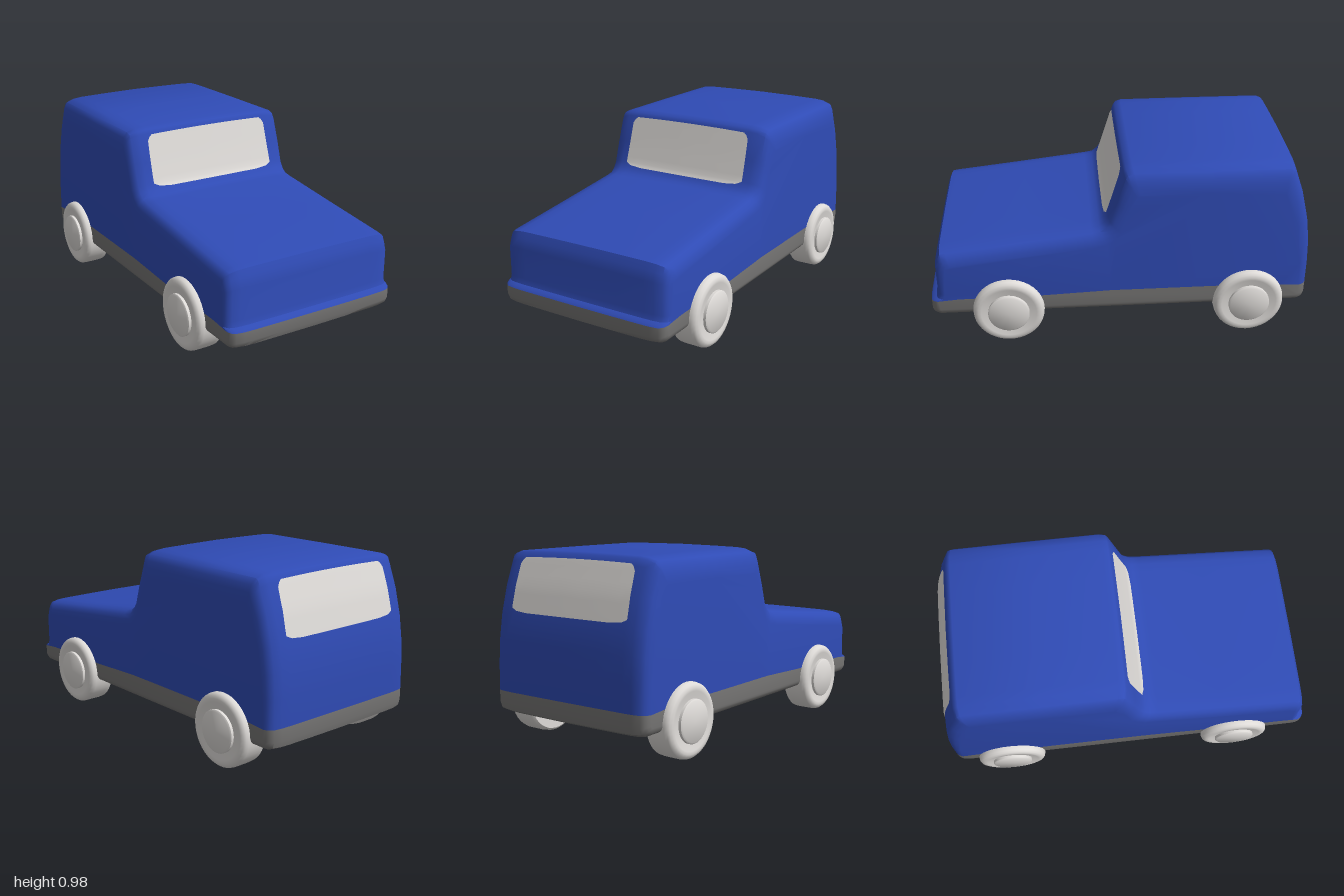
import * as THREE from 'three';
import { toCreasedNormals } from 'three/addons/utils/BufferGeometryUtils.js';

// Half-width stations: [x, how much of each point's inset applies]
const half = [[0, 0], [0.2, 0.02], [0.36, 0.05], [0.41, 0.1], [0.455, 0.25], [0.473, 0.55], [0.482, 0.9], [0.488, 1.3]];
const rings = [...half.slice(1).reverse().map(([x, s]) => [-x, s]), ...half];

// Side profiles as [z, y, inset z, inset y] along the centre line
const upperPath = [
  [1, 0.243, -0.035, 0.006], [0.992, 0.253, -0.035, 0.003], [0.972, 0.262, -0.035, 0],
  [0.963, 0.29, -0.035, 0], [0.963, 0.45, -0.035, -0.02], [0.95, 0.5, -0.035, -0.04],
  [0.935, 0.535, -0.03, -0.055], [0.9, 0.542, -0.02, -0.06], [0.5, 0.588, 0, -0.06],
  [0.15, 0.632, -0.01, -0.065], [0.11, 0.639, -0.03, -0.06], [0.085, 0.66, -0.045, -0.05],
  [0.065, 0.69, -0.05, -0.045], [0.03, 0.8, -0.05, -0.04], [-0.013, 0.945, -0.05, -0.085],
  [-0.025, 0.964, -0.045, -0.095], [-0.06, 0.975, -0.03, -0.1], [-0.45, 0.976, 0, -0.1],
  [-0.86, 0.975, 0.03, -0.1], [-0.88, 0.965, 0.045, -0.095], [-0.895, 0.93, 0.05, -0.085],
  [-0.94, 0.8, 0.05, -0.04], [-0.975, 0.66, 0.05, -0.02], [-0.994, 0.53, 0.05, -0.01],
  [-1, 0.4, 0.045, 0], [-1, 0.265, 0.04, 0],
];
const lowerPath = [
  [-1, 0.265, 0.04, 0], [-1, 0.2, 0.04, 0.01], [-0.992, 0.168, 0.04, 0.025],
  [-0.96, 0.152, 0.03, 0.03], [0, 0.15, 0, 0.03], [0.965, 0.15, -0.03, 0.03],
  [0.992, 0.165, -0.035, 0.025], [1, 0.19, -0.035, 0.01], [1, 0.243, -0.035, 0.006],
];
// Colour break along the sides, front to back
const seam = [[0.85, 0.26], [0.4, 0.265], [0.05, 0.28], [-0.6, 0.28], [-0.85, 0.272]];

const at = ([z, y, iz, iy], s) => [z + iz * s, y + iy * s];

// Skin across the width from an open profile, with both sides closed
function loft(path, closing) {
  const pos = [], index = [], n = path.length;
  for (const [x, s] of rings) for (const p of path) {
    const [z, y] = at(p, s);
    pos.push(x, y, z);
  }
  for (let i = 0; i < rings.length - 1; i++) for (let j = 0; j < n - 1; j++) {
    const a = i * n + j, b = a + n;
    index.push(a, b, b + 1, a, b + 1, a + 1);
  }
  const [edge, s] = half[half.length - 1];
  const outline = [...path.map((p) => at(p, s)), ...closing].map(([z, y]) => new THREE.Vector2(-z, y));
  if (THREE.ShapeUtils.isClockWise(outline)) outline.reverse();
  const faces = THREE.ShapeUtils.triangulateShape(outline, []);
  for (const side of [1, -1]) {
    const base = pos.length / 3;
    for (const p of outline) pos.push(edge * side, p.y, -p.x);
    for (const f of faces) {
      const [A, B, C] = f.map((k) => outline[k]);
      const ccw = (B.x - A.x) * (C.y - A.y) - (B.y - A.y) * (C.x - A.x) > 0;
      const [a, b, c] = f.map((k) => base + k);
      if (ccw === (side > 0)) index.push(a, b, c);
      else index.push(a, c, b);
    }
  }
  const g = new THREE.BufferGeometry();
  g.setAttribute('position', new THREE.Float32BufferAttribute(pos, 3));
  g.setIndex(index);
  return toCreasedNormals(g, 0.75);
}

const lerpTable = (table, t) => {
  for (let i = 0; i < table.length - 1; i++) {
    const [a, u] = table[i], [b, v] = table[i + 1];
    if (t <= b) return u + (v - u) * Math.max(0, (t - a) / (b - a));
  }
  return table[table.length - 1][1];
};

// Thin pane that follows the front (1) or rear (-1) slope of the cabin
function paneGeometry(dir) {
  const pts = upperPath.filter((p) => p[1] > 0.6 && (dir > 0 ? p[0] < 0.12 && p[0] > -0.1 : p[0] < -0.8));
  pts.sort((a, b) => a[1] - b[1]);
  const zs = pts.map((p) => [p[1], p[0]]), insets = pts.map((p) => [p[1], p[2]]);
  const rows = [[0.67, 0.27], [0.676, 0.34], [0.69, 0.372], [0.72, 0.372], [0.76, 0.371], [0.8, 0.37],
    [0.85, 0.369], [0.905, 0.367], [0.925, 0.355], [0.937, 0.34]];
  const cols = 12, pos = [], index = [];
  rows.forEach(([y, w], r) => {
    for (let c = 0; c <= cols; c++) {
      const u = (c / cols) * 2 - 1, x = u * w * dir;
      const z = lerpTable(zs, y) + lerpTable(insets, y) * lerpTable(half, Math.abs(x));
      pos.push(x, y + 0.006 * (1 - u * u) * (r / (rows.length - 1)), z + dir * 0.007);
      if (r && c) {
        const d = r * (cols + 1) + c, b = d - cols - 1;
        index.push(b - 1, b, d, b - 1, d, d - 1);
      }
    }
  });
  const g = new THREE.BufferGeometry();
  g.setAttribute('position', new THREE.Float32BufferAttribute(pos, 3));
  g.setIndex(index);
  g.computeVertexNormals();
  return g;
}

// Turned part around the axle, [radius, distance outwards]
function turned(profile) {
  const g = new THREE.LatheGeometry(profile.map(([r, d]) => new THREE.Vector2(r, d)), 40);
  g.rotateZ(-Math.PI / 2);
  return toCreasedNormals(g, 0.75);
}

export function createModel() {
  const paint = (name, color) => Object.assign(new THREE.MeshStandardMaterial({ color }), { name });
  const blue = paint('blue paint', 0x2f4bb5);
  const grey = paint('grey trim', 0x777675);
  const pale = paint('pale grey', 0xdedbd8);

  const car = new THREE.Group();
  car.name = 'car';
  const add = (name, geometry, material, parent = car) => {
    const mesh = new THREE.Mesh(geometry, material);
    mesh.name = name;
    parent.add(mesh);
    return mesh;
  };

  // Body shell and lower sill
  add('bodyShell', loft(upperPath, [...seam].reverse()), blue);
  add('lowerSill', loft(lowerPath, seam), grey);

  // Windows
  add('windscreen', paneGeometry(1), pale);
  add('rearWindow', paneGeometry(-1), pale);

  // Wheels
  const tyre = turned([[0, 0.378], [0.172, 0.378], [0.184, 0.39], [0.187, 0.42], [0.187, 0.495],
    [0.184, 0.51], [0.175, 0.521], [0.16, 0.527], [0.145, 0.526], [0.125, 0.52], [0, 0.52]]);
  const hub = turned([[0.108, 0.515], [0.108, 0.534], [0.1, 0.54], [0, 0.54]]);
  for (const [end, z] of [['front', 0.59], ['rear', -0.68]]) for (const side of [1, -1]) {
    const wheel = new THREE.Group();
    wheel.name = end + (side > 0 ? 'Left' : 'Right') + 'Wheel';
    wheel.position.set(0, 0.187, z);
    wheel.rotation.y = side > 0 ? 0 : Math.PI;
    add('tyre', tyre, pale, wheel);
    add('hub', hub, pale, wheel);
    car.add(wheel);
  }
  return car;
}
